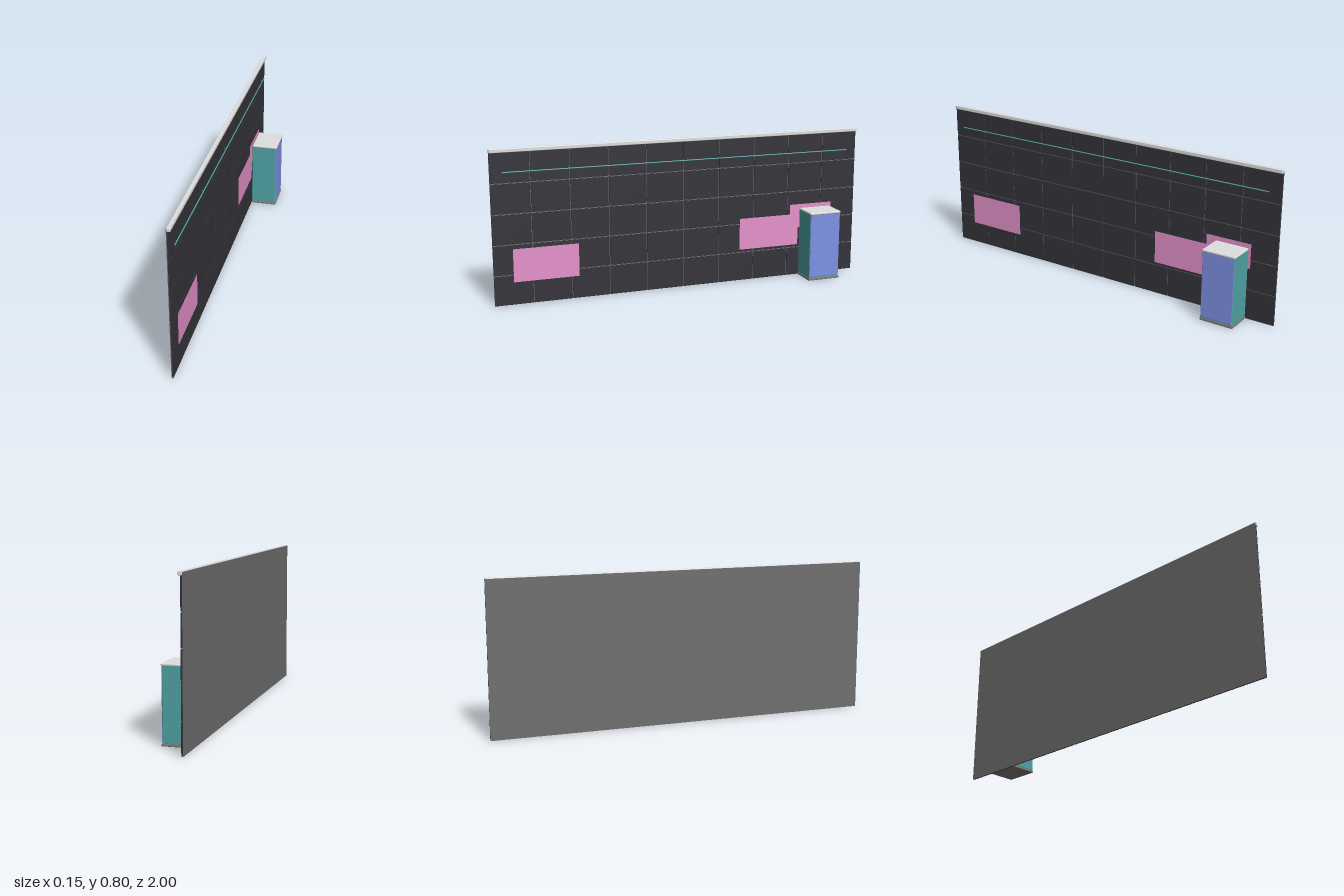
import * as THREE from 'three';
import { RoundedBoxGeometry } from 'three/addons/geometries/RoundedBoxGeometry.js';

const material = (name, color) => new THREE.MeshStandardMaterial({ name, color });

export function createModel() {
  const group = new THREE.Group();
  const charcoal = material('charcoal tile', 0x34333a);
  const grey = material('grey backing', 0x6e6e6e);
  const silver = material('light grey', 0xdfdfdf);
  const teal = material('teal', 0x50a3a5);
  const blue = material('periwinkle', 0x7e91e6);
  const pink = material('pink', 0xe592cb);
  const taupe = material('taupe grey', 0x827b7e);
  grey.side = THREE.DoubleSide;
  pink.side = THREE.DoubleSide;

  function add(name, geometry, mat, position, parent = group) {
    const mesh = new THREE.Mesh(geometry, mat);
    mesh.name = name;
    mesh.position.set(...position);
    parent.add(mesh);
    return mesh;
  }

  // Adds a rounded box given by its lower and upper limits on each axis
  function box(name, mat, [x0, x1], [y0, y1], [z0, z1], radius, parent = group) {
    const geometry = new RoundedBoxGeometry(x1 - x0, y1 - y0, z1 - z0, 2, radius);
    return add(name, geometry, mat, [(x0 + x1) / 2, (y0 + y1) / 2, (z0 + z1) / 2], parent);
  }

  // Sheet behind the tiles, reaching up behind the rail
  const backing = add('wallBacking', new THREE.PlaneGeometry(2, 0.795), grey, [-0.0768, 0.3975, 0]);
  backing.rotation.y = -Math.PI / 2;

  // Wall tiles, ten columns by five rows with narrow joints and soft edges
  const tiles = new THREE.Group();
  tiles.name = 'wallTiles';
  group.add(tiles);
  const columns = 10, rows = 5, tileZ = 0.2, tileY = 0.1566, joint = 0.0016;
  for (let c = 0; c < columns; c++) {
    for (let r = 0; r < rows; r++) {
      const z = -1 + c * tileZ, y = r * tileY;
      box('wallTile', charcoal, [-0.0735, -0.068],
        [y + (r ? joint : 0), y + tileY - joint],
        [z + (c ? joint : 0), z + tileZ - (c < columns - 1 ? joint : 0)], 0.002, tiles);
    }
  }

  // Rounded rail along the top of the wall
  box('topRail', silver, [-0.0765, -0.0572], [0.78, 0.7995], [-1, 1], 0.0035);

  // Slim rod held off the wall by small pins
  const rod = add('wallRod', new THREE.CylinderGeometry(0.003, 0.003, 1.88, 32), teal, [-0.0575, 0.682, 0]);
  rod.rotation.x = Math.PI / 2;
  for (const z of [-0.9, -0.45, 0, 0.45, 0.9]) {
    const pin = add('rodPin', new THREE.CylinderGeometry(0.0008, 0.0008, 0.0105, 16), teal, [-0.0628, 0.682, z]);
    pin.rotation.z = Math.PI / 2;
  }

  // Flat posters: height limits, then depth limits
  const posters = [
    [[0.117, 0.289], [0.563, 0.9]],
    [[0.171, 0.342], [-0.664, -0.321]],
    [[0.268, 0.396], [-0.86, -0.616]],
  ];
  posters.forEach(([[y0, y1], [z0, z1]], i) => {
    const poster = add('poster', new THREE.PlaneGeometry(z1 - z0, y1 - y0), pink,
      [-0.0674 + i * 0.0003, (y0 + y1) / 2, (z0 + z1) / 2]);
    poster.rotation.y = Math.PI / 2;
  });

  // Cabinet standing against the wall
  const cabinet = new THREE.Group();
  cabinet.name = 'cabinet';
  group.add(cabinet);
  box('cabinetBody', teal, [-0.0665, 0.0725], [0.01, 0.371], [-0.848, -0.672], 0.005, cabinet);
  box('cabinetDoor', blue, [0.0665, 0.0738], [0.02, 0.366], [-0.845, -0.675], 0.001, cabinet);
  box('cabinetBase', taupe, [-0.0665, 0.0745], [0, 0.0125], [-0.85, -0.67], 0.002, cabinet);
  box('cabinetLid', silver, [-0.0635, 0.0765], [0.3645, 0.376], [-0.849, -0.671], 0.004, cabinet);

  return group;
}
